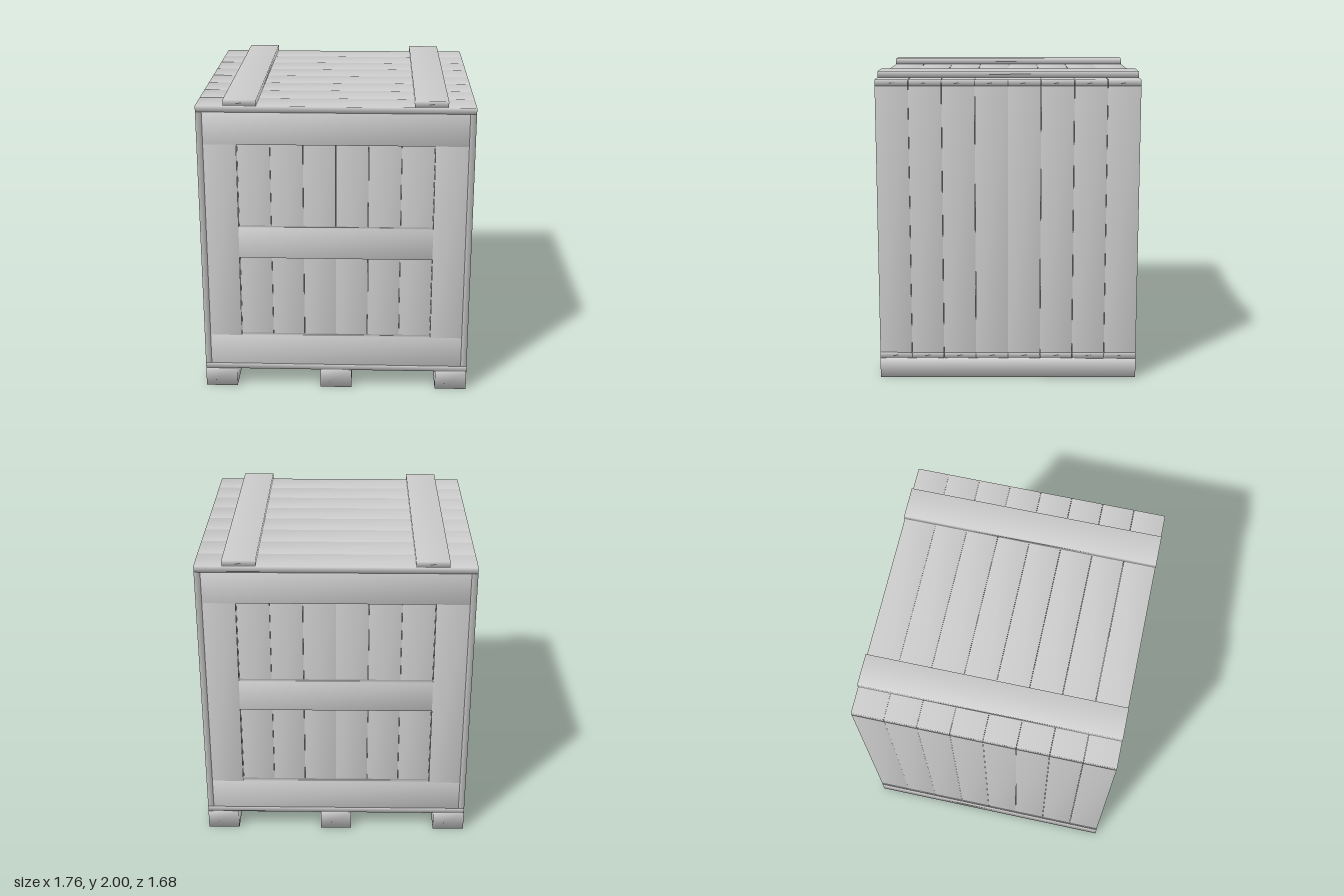
import * as THREE from 'three';
import { mergeVertices } from 'three/addons/utils/BufferGeometryUtils.js';

const material = new THREE.MeshStandardMaterial({ color: 0xcccccc });

// A board given by its min and max along each axis, with softly shaded corners
function board(parent, name, [x0, x1], [y0, y1], [z0, z1]) {
  let geometry = new THREE.BoxGeometry(x1 - x0, y1 - y0, z1 - z0);
  geometry.deleteAttribute('normal');
  geometry.deleteAttribute('uv');
  geometry = mergeVertices(geometry);
  geometry.computeVertexNormals();
  const mesh = new THREE.Mesh(geometry, material);
  mesh.name = name;
  mesh.position.set((x0 + x1) / 2, (y0 + y1) / 2, (z0 + z1) / 2);
  parent.add(mesh);
}

const W = 0.88;            // half width over the side walls
const D = 0.84;            // half depth, also half width of the end walls
const T = 0.04;            // board thickness
const P = 0.21;            // board width
const LOW = 0.17, HIGH = 1.92; // wall bottom and top
const GAP = 0.001;         // seam between neighbouring boards

// Calls back with the span of each of the eight boards in a row
function planks(callback) {
  for (let i = 0; i < 8; i++) callback([-D + i * P + GAP, -D + (i + 1) * P - GAP]);
}

// End wall facing +z: recessed planks behind a frame with a middle rail
function endWall(name) {
  const wall = new THREE.Group();
  wall.name = name;
  planks((span) => board(wall, 'endPlank', span, [LOW, HIGH], [D - 2 * T, D - T]));
  const z = [D - T, D];
  board(wall, 'topRail', [-D, D], [HIGH - P, HIGH], z);
  board(wall, 'bottomRail', [-D, D], [LOW, LOW + P], z);
  board(wall, 'middleRail', [-D + P, D - P], [0.94, 1.15], z);
  board(wall, 'leftStile', [D - P, D], [LOW + P, HIGH - P], z);
  board(wall, 'rightStile', [-D, -D + P], [LOW + P, HIGH - P], z);
  return wall;
}

export function createModel() {
  const crate = new THREE.Group();
  crate.name = 'crate';

  // Floor, lid and side walls
  const parts = {};
  for (const name of ['floor', 'lid', 'leftWall', 'rightWall', 'runners', 'lidBattens']) {
    parts[name] = new THREE.Group();
    parts[name].name = name;
    crate.add(parts[name]);
  }
  planks((span) => {
    board(parts.floor, 'floorPlank', [-W, W], [LOW - T, LOW], span);
    board(parts.lid, 'lidPlank', [-W, W], [HIGH, HIGH + T], span);
    board(parts.leftWall, 'sidePlank', [D, W], [LOW, HIGH], span);
    board(parts.rightWall, 'sidePlank', [-W, -D], [LOW, HIGH], span);
  });

  // Framed front and back walls
  const back = endWall('backWall');
  back.rotation.y = Math.PI;
  crate.add(endWall('frontWall'), back);

  // Runners under the floor
  for (const x of [-W + P / 2, 0, W - P / 2]) {
    board(parts.runners, 'runner', [x - P / 2, x + P / 2], [0, LOW - T], [-D, D]);
  }

  // Battens across the lid
  for (const x of [-0.6, 0.6]) {
    board(parts.lidBattens, 'lidBatten', [x - P / 2, x + P / 2], [HIGH + T, 2], [-D, D]);
  }
  return crate;
}
